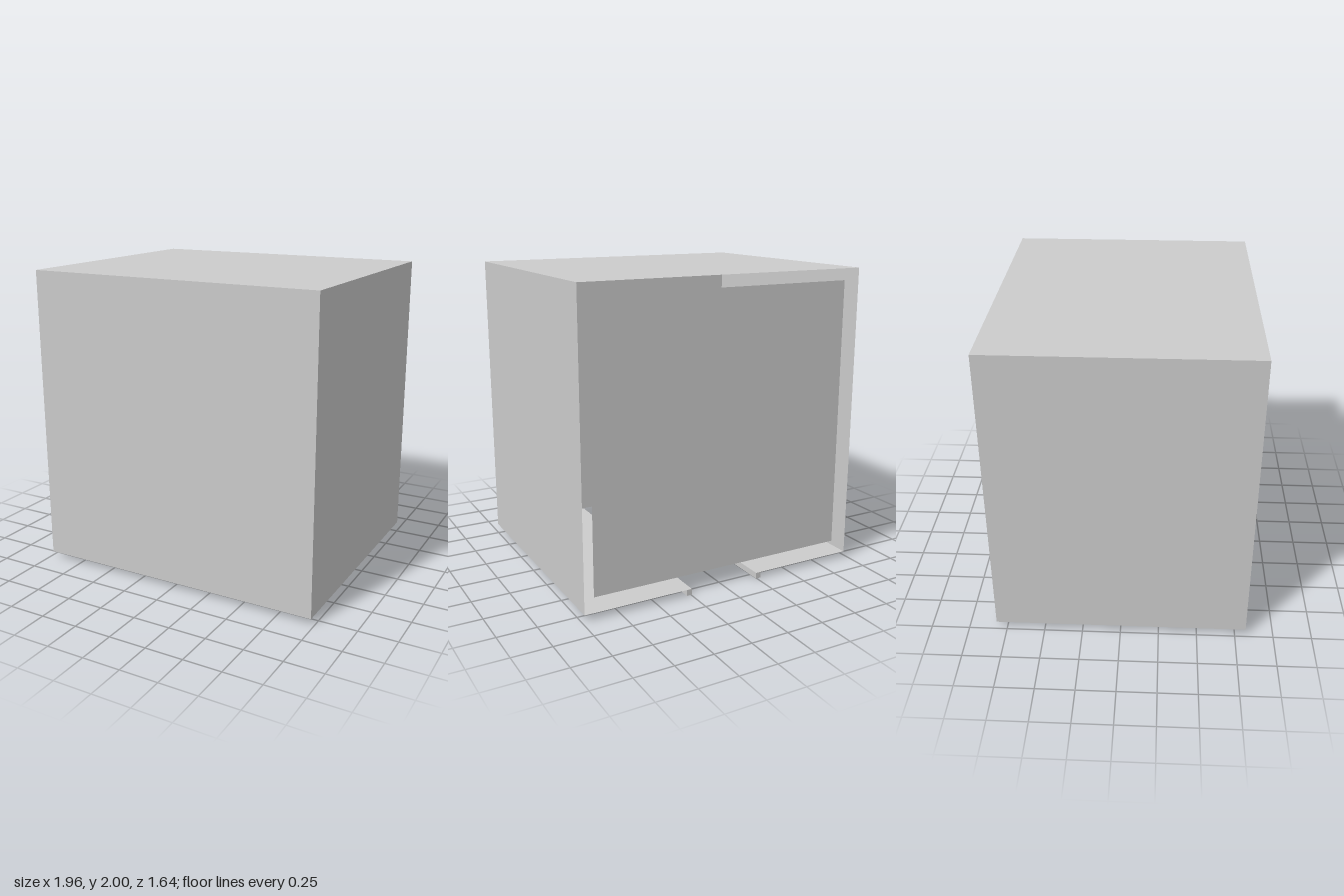
import * as THREE from 'three';

const X = 0.98, Z = 0.82, TOP = 2, BASE = 0.04; // cabinet shell extents
const SLOT = 0.28, RAIL = 0.035;                // floor slot half width, rail thickness
const MID = (TOP + BASE) / 2, H = TOP - BASE;

export function createModel() {
  const model = new THREE.Group();
  const thin = new THREE.MeshStandardMaterial({ color: 0xcccccc, flatShading: true, side: THREE.DoubleSide });
  const solid = new THREE.MeshStandardMaterial({ color: 0xcccccc, flatShading: true });

  const add = (name, geometry, material, x, y, z) => {
    const mesh = new THREE.Mesh(geometry, material);
    mesh.name = name;
    mesh.position.set(x, y, z);
    model.add(mesh);
    return mesh;
  };
  const sheet = (name, w, h, x, y, z, rx = 0, ry = 0) =>
    add(name, new THREE.PlaneGeometry(w, h), thin, x, y, z).rotation.set(rx, ry, 0);
  const bar = (name, w, h, d, x, y, z) =>
    add(name, new THREE.BoxGeometry(w, h, d), solid, x, y, z);

  // Thin-walled shell, open at the back
  sheet('frontWall', 2 * X, H, 0, MID, Z);
  sheet('topWall', 2 * X, 2 * Z, 0, TOP, 0, -Math.PI / 2);

  // Back panel set slightly inside the opening, with a gap all around
  sheet('backPanel', 1.8, 1.8, 0, MID, -Z + 0.04, 0, Math.PI);

  // Sides, floor halves beside the slot, and rails under the slot's edges
  const floorWidth = X - SLOT, railEnd = 0.36;
  for (const [side, s] of [['left', 1], ['right', -1]]) {
    sheet(side + 'Wall', 2 * Z, H, s * X, MID, 0, 0, s * Math.PI / 2);
    sheet(side + 'Floor', floorWidth, 2 * Z, s * (SLOT + floorWidth / 2), BASE, 0, Math.PI / 2);
    bar(side + 'Rail', RAIL, BASE, railEnd + Z, s * (SLOT - RAIL / 2), BASE / 2, (railEnd - Z) / 2);
  }

  // Crossbar joining the rails at the front
  bar('crossbar', 2 * (SLOT - RAIL), BASE, RAIL, 0, BASE / 2, railEnd - RAIL / 2);

  return model;
}
